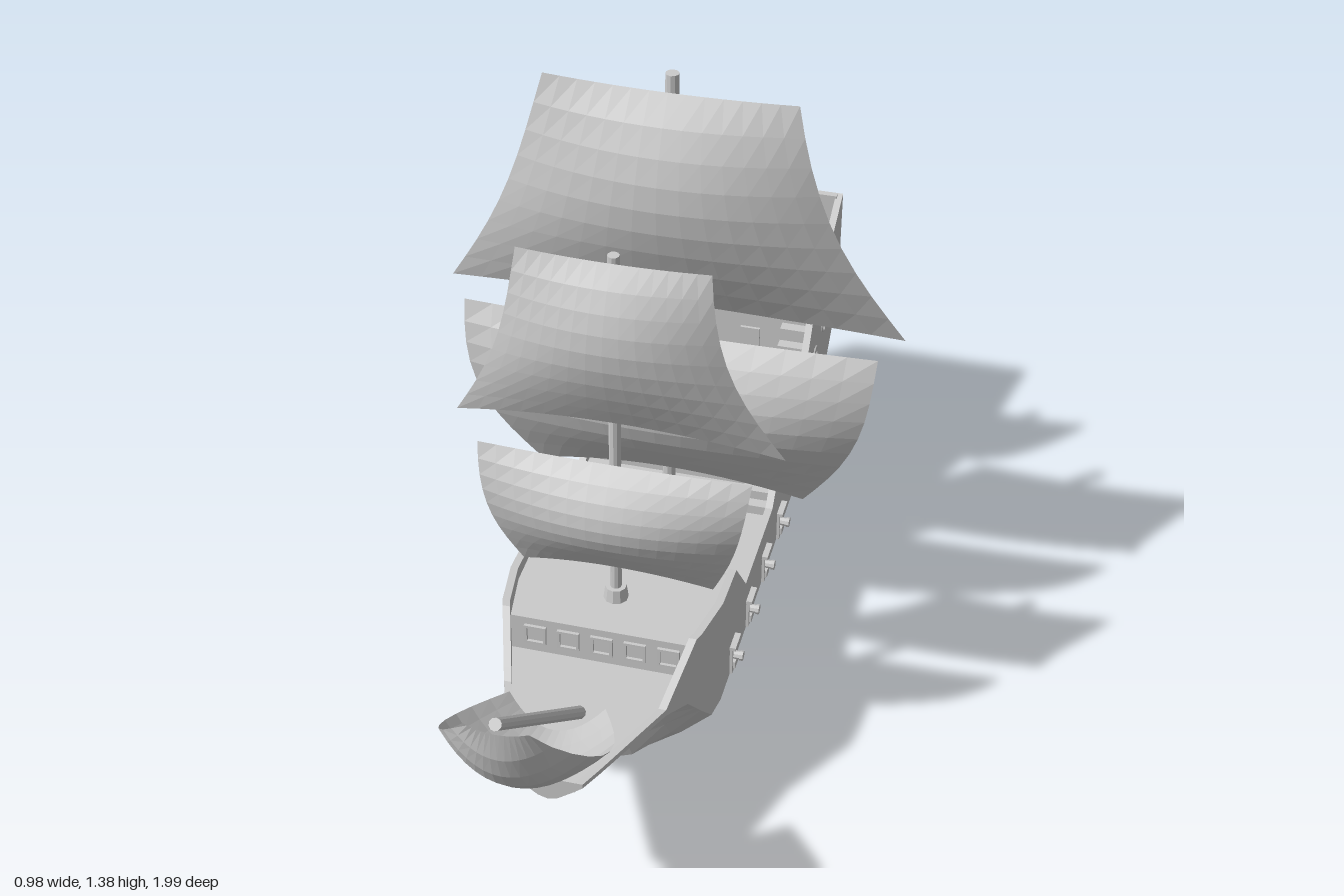
import * as THREE from 'three';

const flat = new THREE.MeshStandardMaterial({ color: 0xcccccc, flatShading: true });
const cloth = new THREE.MeshStandardMaterial({ color: 0xcccccc, flatShading: true, side: THREE.DoubleSide });

// Hull tables: [z, value], running from stern to prow
const RAIL = [[-1, .68], [-.7, .56], [-.59, .42], [-.38, .4], [-.28, .3], [-.02, .3], [.08, .42], [.33, .44], [.44, .34], [.7, .36]];
const DECK = [[-1, .61], [-.8, .545], [-.7, .535], [-.699, .38], [-.39, .38], [-.389, .27], [.07, .27], [.071, .4], [.31, .4], [.311, .315], [.7, .335]];
const WIDTH = [[-1, .222], [-.5, .225], [.2, .225], [.31, .208], [.44, .168], [.65, .09], [.7, .07]];
const CHINE = [[-1, .4], [-.93, .33], [-.8, .22], [-.6, .17], [.25, .165], [.31, .23], [.36, .29], [.44, .325], [.7, .35]];
const KEEL = [[-1, .27], [-.985, .255], [-.93, .2], [-.84, .08], [-.8, .04], [-.6, .02], [-.3, .005], [0, 0], [.2, .006], [.29, .025], [.33, .15], [.37, .215], [.42, .255], [.5, .28], [.7, .305]];
const FULL = [[-1, 1], [-.84, .7], [-.5, .25], [0, .1], [.2, 0], [.34, -1], [.7, -.6]];

function at(table, z) {
  for (let i = 1; i < table.length; i++) {
    const [z0, a] = table[i - 1], [z1, b] = table[i];
    if (z <= z1) return a + (b - a) * (z - z0) / (z1 - z0);
  }
  return table[table.length - 1][1];
}

// Closed hull section: outer skin, rail caps, inner bulwarks and deck
function section(z) {
  const w = at(WIDTH, z), rail = at(RAIL, z), chine = at(CHINE, z), keel = at(KEEL, z), f = at(FULL, z);
  const h = chine - keel, inner = w - .016, deck = Math.min(at(DECK, z), rail - .01);
  const half = [
    [inner, deck], [inner, rail], [w, rail], [w, chine],
    [w * (.76 + .16 * f), keel + h * (.54 - .06 * f)],
    [w * (.4 + .2 * f), keel + h * .13],
  ];
  return [...half, [0, keel], ...half.map(([x, y]) => [-x, y]).reverse()];
}

function hullGeometry() {
  const zs = [...new Set([RAIL, DECK, WIDTH, CHINE, KEEL, FULL].flat().map(p => p[0]))].sort((a, b) => a - b);
  const pos = [], idx = [], n = section(0).length;
  zs.forEach((z, i) => {
    section(z).forEach(([x, y], j) => {
      pos.push(x, y, z);
      if (i === zs.length - 1) return;
      const a = i * n + j, b = i * n + (j + 1) % n, c = a + n, d = b + n;
      idx.push(a, c, b, b, c, d);
    });
  });
  const g = new THREE.BufferGeometry();
  g.setAttribute('position', new THREE.Float32BufferAttribute(pos, 3));
  g.setIndex(idx);
  g.computeVertexNormals();
  return g;
}

// Billowing sail between a top and bottom point in the (y, z) plane
function sailGeometry({ top, bottom, wTop, wBot, bow, belly, sweep, arch }) {
  const g = new THREE.PlaneGeometry(2, 1, 14, 9), p = g.attributes.position;
  const dy = bottom[0] - top[0], dz = bottom[1] - top[1], len = Math.hypot(dy, dz);
  const ny = dz / len, nz = -dy / len;
  for (let i = 0; i < p.count; i++) {
    const u = p.getX(i), v = .5 - p.getY(i);
    const w = wTop + (wBot - wTop) * v + bow * Math.sin(Math.PI * v);
    const out = belly * Math.sin(Math.PI * v ** .85) * (1 - .55 * u * u) - sweep * u * u * (.2 + .8 * v);
    p.setXYZ(i, u * w, top[0] + dy * v + ny * out - arch * u * u * v, top[1] + dz * v + nz * out);
  }
  g.computeVertexNormals();
  return g;
}

export function createModel() {
  const ship = new THREE.Group();
  ship.name = 'sailingShip';
  const add = (name, geo, x = 0, y = 0, z = 0, parent = ship, mat = flat) => {
    const m = new THREE.Mesh(geo, mat);
    m.name = name;
    m.position.set(x, y, z);
    parent.add(m);
    return m;
  };
  const box = (name, w, h, d, x, y, z, parent) => add(name, new THREE.BoxGeometry(w, h, d), x, y, z, parent);
  const group = (name, x = 0, y = 0, z = 0) => {
    const g = new THREE.Group();
    g.name = name;
    g.position.set(x, y, z);
    ship.add(g);
    return g;
  };

  // Hull with end caps
  add('hull', hullGeometry());
  const capShape = z => new THREE.ShapeGeometry(new THREE.Shape(section(z).map(([x, y]) => new THREE.Vector2(x, y))));
  add('transom', capShape(-1).rotateY(Math.PI), 0, 0, -1);
  add('prowEnd', capShape(.7), 0, 0, .7);
  box('sternRail', .42, .09, .016, 0, .635, -.992);

  // Stem board along the bow
  const stemShape = new THREE.Shape([[.2, .006], [.3, .018], [.32, .05], [.35, .17], [.385, .215], [.43, .25], [.5, .277],
    [.5, .29], [.4, .26], [.32, .2], [.27, .04]].map(p => new THREE.Vector2(...p)));
  const stem = new THREE.ExtrudeGeometry(stemShape, { depth: .024, bevelEnabled: false }).translate(0, 0, -.012);
  add('stem', stem).rotation.y = -Math.PI / 2;

  // Masts with collars, and the bowsprit
  const mast = (name, z, y0, y1, r) => {
    add(name, new THREE.CylinderGeometry(r, r, y1 - y0, 10), 0, (y0 + y1) / 2, z);
    add(name + 'Collar', new THREE.CylinderGeometry(.022, .026, .03, 10), 0, y0 + .015, z);
  };
  mast('foreMast', .2, .4, 1.235, .012);
  mast('mainMast', -.24, .27, 1.38, .014);
  mast('mizzenMast', -.595, .38, 1.1, .011);
  const foot = new THREE.Vector3(0, .33, .48), tip = new THREE.Vector3(0, .765, .985);
  const sprit = add('bowsprit', new THREE.CylinderGeometry(.012, .014, foot.distanceTo(tip), 10));
  sprit.position.lerpVectors(foot, tip, .5);
  sprit.quaternion.setFromUnitVectors(new THREE.Vector3(0, 1, 0), tip.clone().sub(foot).normalize());

  // Sails
  const sails = {
    mainTopSail: { top: [1.355, -.205], bottom: [.86, -.21], wTop: .26, wBot: .49, bow: -.03, belly: .095, sweep: .07, arch: .06 },
    mainLowerSail: { top: [.785, -.205], bottom: [.44, -.195], wTop: .445, wBot: .295, bow: .04, belly: .1, sweep: .065, arch: .08 },
    foreTopSail: { top: [1.225, .215], bottom: [.86, .22], wTop: .19, wBot: .335, bow: -.03, belly: .07, sweep: .052, arch: .065 },
    foreLowerSail: { top: [.755, .22], bottom: [.5, .225], wTop: .28, wBot: .2, bow: .015, belly: .075, sweep: .04, arch: .05 },
    mizzenSail: { top: [1.095, -.575], bottom: [.71, -.575], wTop: .13, wBot: .19, bow: -.01, belly: .085, sweep: .045, arch: .05 },
    spritSail: { top: [.745, .99], bottom: [.445, .655], wTop: .06, wBot: .095, bow: .08, belly: .1, sweep: .05, arch: -.01 },
  };
  for (const [name, s] of Object.entries(sails)) add(name, sailGeometry(s), 0, 0, 0, ship, cloth);

  for (const side of [1, -1]) {
    // Gun ports with frame, raised lid and cannon
    for (let i = 0; i < 6; i++) {
      const z = .1 - i * .153;
      const port = group('gunPort', side * .225, .203 + Math.max(0, i - 3) * .014, z);
      for (const s of [1, -1]) {
        box('frameUpright', .012, .066, .007, 0, 0, s * .019, port);
        box('frameBeam', .012, .007, .045, 0, s * .03, 0, port);
      }
      box('lid', .018, .008, .05, side * .004, .037, 0, port);
      box('carriage', .016, .018, .026, side * .002, -.018, 0, port);
      add('cannon', new THREE.CylinderGeometry(.008, .01, .04, 8), side * .004, .002, 0, port).rotation.z = Math.PI / 2;
      add('muzzle', new THREE.CylinderGeometry(.011, .011, .007, 8), side * .021, .002, 0, port).rotation.z = Math.PI / 2;
    }

    // Round stern windows
    for (const [z, y] of [[-.72, .41], [-.82, .44], [-.92, .485]]) {
      add('windowRing', new THREE.TorusGeometry(.023, .003, 6, 16), side * .224, y, z).rotation.y = Math.PI / 2;
    }

    // Stairs between the decks: start z, end z, lower deck, upper deck
    for (const [z0, z1, y0, y1] of [[-.03, .07, .27, .4], [-.29, -.39, .27, .38], [-.6, -.7, .38, .535]]) {
      const stairs = group('stairs');
      for (let k = 0; k < 4; k++) {
        const h = (y1 - y0) * (k + 1) / 5;
        box('step', .06, h, .025, side * .179, y0 + h / 2, z0 + (z1 - z0) * (k + .5) / 4, stairs);
      }
    }

    // Doors on the cabin walls
    box('foreCabinDoor', .045, .09, .008, side * .075, .315, .069);
    box('sternCabinDoor', .045, .1, .008, side * .075, .43, -.697);
  }

  // Front cabin windows
  for (let i = -2; i <= 2; i++) {
    const win = group('frontWindow', i * .07, .36, .312);
    for (const s of [1, -1]) {
      box('sill', .045, .006, .01, 0, s * .02, 0, win);
      box('jamb', .006, .046, .01, s * .02, 0, 0, win);
    }
  }

  // Helm on the poop platform
  box('helmPlatform', .28, .02, .1, 0, .545, -.75);
  box('helmPost', .035, .045, .015, 0, .575, -.73);
  add('helmWheel', new THREE.TorusGeometry(.02, .003, 6, 14), 0, .598, -.715);
  for (let i = 0; i < 3; i++) box('helmSpoke', .052, .004, .004, 0, .598, -.715).rotation.z = i * Math.PI / 3;

  return ship;
}
